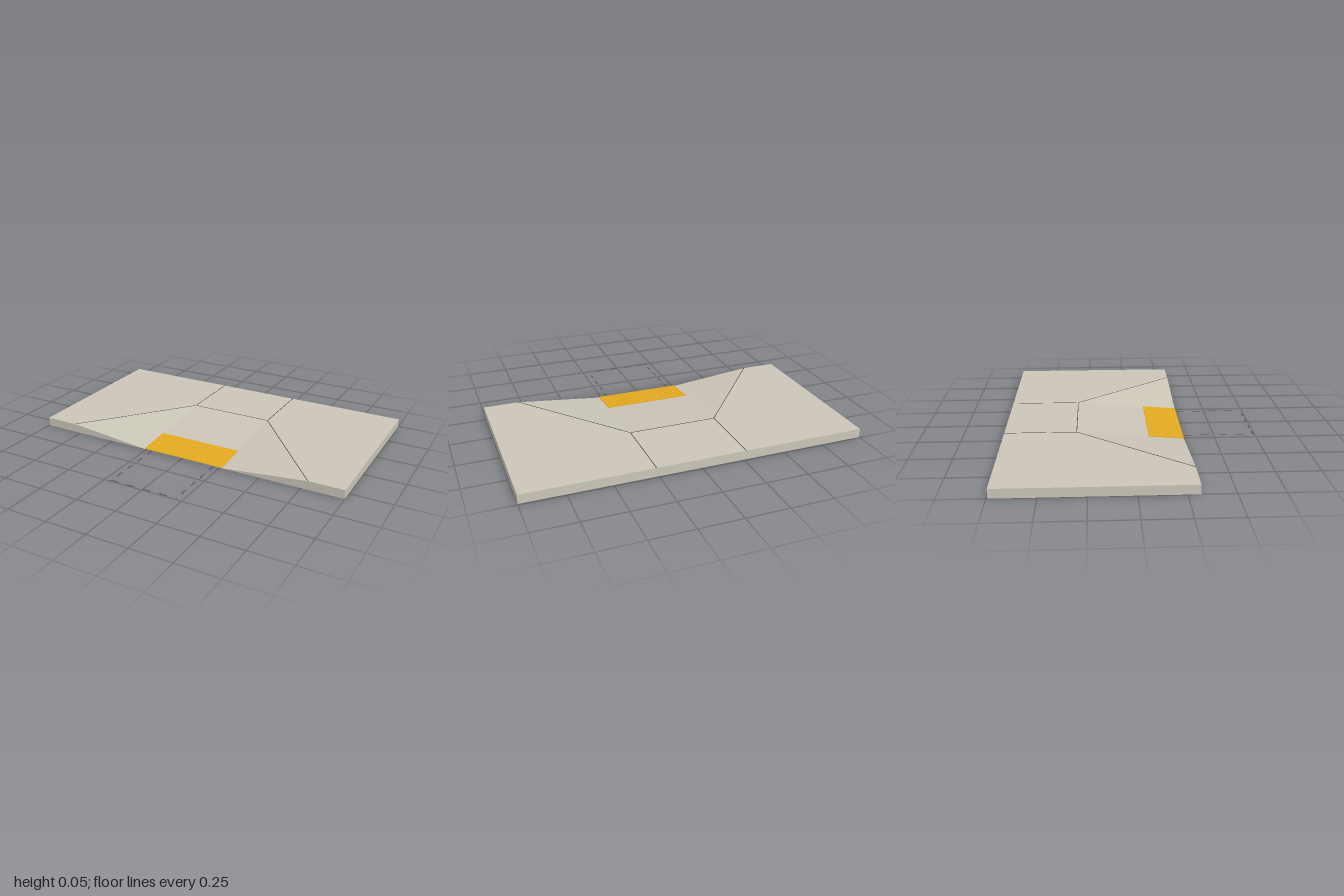
import * as THREE from 'three';
import { mergeGeometries } from 'three/addons/utils/BufferGeometryUtils.js';

const H = 0.053;                          // curb height
const BACK = -0.742, MID = -0.318, FRONT = 0.316, END = 0.742;
const RAMP = 0.263, FLARE = 0.787;        // half widths at the ramp and flare tips

const concrete = new THREE.MeshStandardMaterial({ color: 0xcac5b7, side: THREE.DoubleSide });
const yellow = new THREE.MeshStandardMaterial({ color: 0xe2a81c });
const dark = new THREE.MeshStandardMaterial({ color: 0x484846 });
concrete.name = 'concrete';
yellow.name = 'safety yellow';
dark.name = 'dark line';

// Flat convex polygon, optionally mirrored across x
function face(points, mirror = false) {
  const pts = mirror ? points.map(([x, y, z]) => [-x, y, z]).reverse() : points;
  const pos = [];
  for (let i = 1; i < pts.length - 1; i++) pos.push(...pts[0], ...pts[i], ...pts[i + 1]);
  const g = new THREE.BufferGeometry();
  g.setAttribute('position', new THREE.Float32BufferAttribute(pos, 3));
  g.computeVertexNormals();
  return g;
}

// Thin level strip between two (x, z) points, resting on height y
function strip([x1, z1], [x2, z2], y, width) {
  const thick = 0.001;
  const g = new THREE.BoxGeometry(Math.hypot(x2 - x1, z2 - z1), thick, width);
  g.rotateY(-Math.atan2(z2 - z1, x2 - x1));
  return g.translate((x1 + x2) / 2, y + thick / 2, (z1 + z2) / 2);
}

export function createModel() {
  const model = new THREE.Group();
  model.name = 'curbRamp';
  const add = (name, geometry, material, parent = model) => {
    const mesh = new THREE.Mesh(geometry, material);
    mesh.name = name;
    parent.add(mesh);
  };

  // Open-bottomed sidewalk shell
  add('landing', face([[RAMP, H, BACK], [-RAMP, H, BACK], [-RAMP, H, MID], [RAMP, H, MID]]), concrete);
  add('ramp', face([[RAMP, H, MID], [-RAMP, H, MID], [-RAMP, 0, FRONT], [RAMP, 0, FRONT]]), concrete);
  add('backWall', face([[1, 0, BACK], [-1, 0, BACK], [-1, H, BACK], [1, H, BACK]]), concrete);
  for (const [side, mirror] of [['left', false], ['right', true]]) {
    add(side + 'Sidewalk', face([[1, H, BACK], [RAMP, H, BACK], [RAMP, H, MID],
      [FLARE, H, FRONT], [1, H, FRONT]], mirror), concrete);
    add(side + 'Flare', face([[RAMP, H, MID], [RAMP, 0, FRONT], [FLARE, H, FRONT]], mirror), concrete);
    add(side + 'Curb', face([[RAMP, 0, FRONT], [1, 0, FRONT], [1, H, FRONT], [FLARE, H, FRONT]], mirror), concrete);
    add(side + 'Wall', face([[1, 0, FRONT], [1, 0, BACK], [1, H, BACK], [1, H, FRONT]], mirror), concrete);
  }

  // Joint lines between the paving fields
  const jointY = H + 0.0005, jointWidth = 0.004;
  const joints = [strip([-RAMP, MID], [RAMP, MID], jointY, jointWidth)];
  for (const s of [-1, 1]) {
    joints.push(strip([s * RAMP, BACK], [s * RAMP, MID], jointY, jointWidth));
    joints.push(strip([s * RAMP, MID], [s * FLARE, FRONT], jointY, jointWidth));
  }
  add('jointLines', mergeGeometries(joints), dark);

  // Tactile warning pad, lying on the ramp slope
  const depth = 0.21, thick = 0.003, cols = 25, rows = 10;
  const slope = Math.atan2(H, FRONT - MID);
  const pad = new THREE.Group();
  pad.name = 'tactilePad';
  pad.position.set(0, Math.tan(slope) * depth / 2 + 0.001, FRONT - depth / 2);
  pad.rotation.x = slope;
  model.add(pad);
  add('padPlate', new THREE.BoxGeometry(2 * RAMP, thick, depth).translate(0, thick / 2, 0), yellow, pad);

  // Truncated domes
  const domes = [];
  for (let i = 0; i < cols; i++) {
    for (let j = 0; j < rows; j++) {
      domes.push(new THREE.CylinderGeometry(0.003, 0.005, 0.002, 10).translate(
        ((i + 0.5) / cols - 0.5) * 2 * (RAMP - 0.004), thick + 0.001,
        ((j + 0.5) / rows - 0.5) * (depth - 0.008)));
    }
  }
  add('padDomes', mergeGeometries(domes), yellow, pad);

  // Dashed clear-space outline on the road
  const dashes = [], half = 0.21, step = 0.104, dash = 0.05, width = 0.006;
  for (let k = 0; k < 4; k++) {
    const x = -half + k * step, z = FRONT + 0.006 + k * step;
    dashes.push(strip([x, END - width / 2], [x + dash, END - width / 2], 0, width));
    for (const s of [-1, 1]) dashes.push(strip([s * half, z], [s * half, z + dash], 0, width));
  }
  for (const s of [-1, 1]) dashes.push(strip([s * half, END - 0.008], [s * half, END], 0, width));
  add('clearSpaceDashes', mergeGeometries(dashes), dark);

  return model;
}
